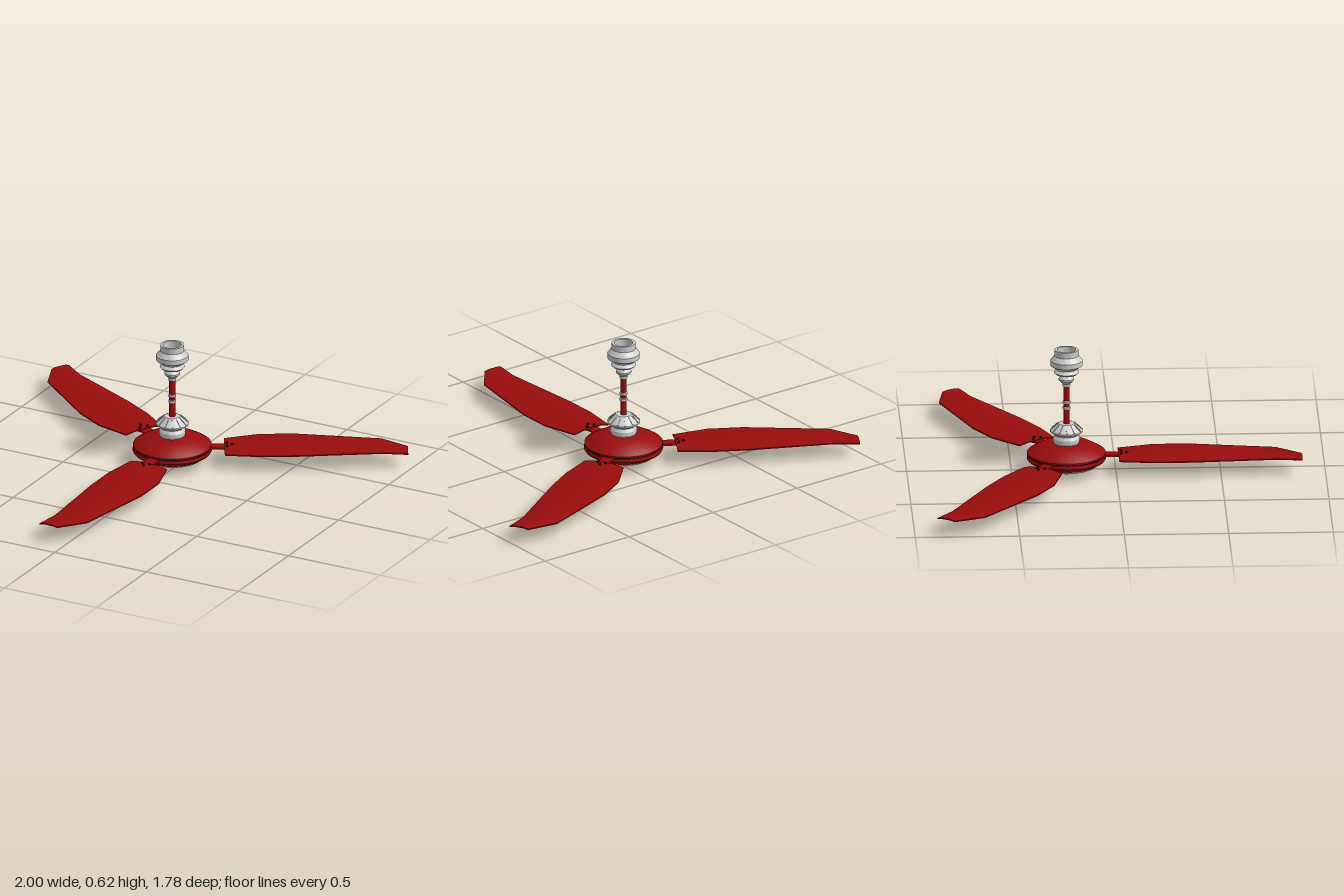
import * as THREE from 'three';
import { toCreasedNormals } from 'three/addons/utils/BufferGeometryUtils.js';

const paint = (color) => new THREE.MeshStandardMaterial({ color, side: THREE.DoubleSide });
const red = paint(0x990c0c), grey = paint(0xcccccc), dark = paint(0x1c1212);

function add(parent, name, geometry, material, x = 0, y = 0, z = 0) {
  const mesh = new THREE.Mesh(geometry, material);
  mesh.name = name;
  mesh.position.set(x, y, z);
  parent.add(mesh);
  return mesh;
}

// Turned part: [radius, height] pairs listed from bottom to top
function turned(profile, segments = 48) {
  const points = profile.map(([r, y]) => new THREE.Vector2(r, y));
  return toCreasedNormals(new THREE.LatheGeometry(points, segments), 0.45);
}

// Cambered blade lofted through stations [z, left edge, right edge, crown height]
function bladeGeometry() {
  const stations = [
    [0.249, -0.096, 0.107, 0.092], [0.42, -0.118, 0.155, 0.093],
    [0.591, -0.118, 0.155, 0.093], [1.003, -0.091, 0.086, 0.091],
    [1.126, -0.107, -0.011, 0.087],
  ];
  const across = [0, 0.22, 0.72, 1], edgeY = 0.082, thick = 0.006;
  const positions = [], index = [];
  for (const [z, left, right, crown] of stations) {
    const top = across.map((t, i) =>
      [left + (right - left) * t, i === 0 || i === 3 ? edgeY : crown, z]);
    const bottom = top.map(([x, y]) => [x, y - thick, z]).reverse();
    positions.push(...[...top, ...bottom].flat());
  }
  const n = across.length * 2, last = (stations.length - 1) * n;
  for (let s = 0; s < last; s += n) {
    for (let i = 0; i < n; i++) {
      const a = s + i, b = s + (i + 1) % n;
      index.push(a, a + n, b, b, a + n, b + n);
    }
  }
  // End caps
  for (let i = 0; i < 3; i++) {
    const a = i, b = i + 1, c = n - 2 - i, d = n - 1 - i;
    index.push(a, b, c, a, c, d);
    index.push(last + a, last + c, last + b, last + a, last + d, last + c);
  }
  const geometry = new THREE.BufferGeometry();
  geometry.setAttribute('position', new THREE.Float32BufferAttribute(positions, 3));
  geometry.setIndex(index);
  return toCreasedNormals(geometry, 0.3);
}

function buildBlade(blade) {
  const group = new THREE.Group();
  group.name = 'bladeAssembly';
  add(group, 'blade', blade, red);
  add(group, 'bladeArm', new THREE.BoxGeometry(0.055, 0.009, 0.16), red, 0, 0.084, 0.23);
  add(group, 'armPlate', new THREE.CylinderGeometry(0.036, 0.036, 0.008, 20), red, 0, 0.082, 0.275);
  for (const [x, z] of [[-0.021, 0.262], [0.021, 0.262], [0, 0.288]]) {
    add(group, 'bladeBolt', new THREE.CylinderGeometry(0.006, 0.006, 0.024, 10), dark, x, 0.087, z);
  }
  return group;
}

function buildMotor() {
  const motor = new THREE.Group();
  motor.name = 'motor';
  add(motor, 'upperHousing', turned([[0.17, 0.094], [0.188, 0.094], [0.188, 0.1],
    [0.17, 0.112], [0.115, 0.142], [0.05, 0.146], [0, 0.146]]), red);
  add(motor, 'housingGap', turned([[0.183, 0.086], [0.183, 0.095]]), dark);
  add(motor, 'lowerHousing', turned([[0.14, 0.045], [0.155, 0.045], [0.185, 0.064],
    [0.19, 0.072], [0.188, 0.087], [0.17, 0.087]]), red);
  // Stepped underside
  add(motor, 'underRing', turned([[0.118, 0.038], [0.125, 0.034], [0.145, 0.036],
    [0.152, 0.046]]), grey);
  add(motor, 'accentRing', turned([[0.088, 0.03], [0.093, 0.025], [0.112, 0.028],
    [0.12, 0.04]]), red);
  add(motor, 'bottomCap', turned([[0, 0.014], [0.06, 0.016], [0.083, 0.022],
    [0.09, 0.032]]), grey);
  add(motor, 'capRing', turned([[0.058, 0.016], [0.06, 0.009], [0.068, 0.009],
    [0.072, 0.018]]), grey);
  add(motor, 'capHub', turned([[0, 0], [0.014, 0.001], [0.022, 0.007], [0.022, 0.018]]), grey);
  // Radial vents on the cap
  for (let i = 0; i < 10; i++) {
    const spoke = new THREE.Group();
    spoke.name = 'capSpoke';
    spoke.rotation.y = (i / 10) * Math.PI * 2;
    add(spoke, 'rib', new THREE.BoxGeometry(0.009, 0.008, 0.042), grey, 0, 0.012, 0.04);
    const vent = new THREE.Group();
    vent.rotation.y = Math.PI / 10;
    vent.name = 'capVent';
    add(vent, 'slot', new THREE.BoxGeometry(0.011, 0.004, 0.026), dark, 0, 0.015, 0.042);
    spoke.add(vent);
    motor.add(spoke);
  }
  return motor;
}

function buildMount() {
  const mount = new THREE.Group();
  mount.name = 'mount';
  add(mount, 'downrod', new THREE.CylinderGeometry(0.015, 0.015, 0.26, 24), red, 0, 0.32, 0);
  for (const y of [0.322, 0.352]) {
    add(mount, 'rodCollar', turned([[0.014, y - 0.009], [0.019, y - 0.005],
      [0.019, y + 0.005], [0.014, y + 0.009]], 24), grey);
  }
  // Lower canopy over the motor
  add(mount, 'lowerCanopy', turned([[0.058, 0.143], [0.064, 0.155], [0.064, 0.172],
    [0.054, 0.187], [0.078, 0.203], [0.078, 0.21], [0.042, 0.242], [0.038, 0.245], [0.015, 0.245]]), grey);
  for (let i = 0; i < 12; i++) {
    const flute = new THREE.Group();
    flute.name = 'canopyFlute';
    flute.rotation.y = (i / 12) * Math.PI * 2;
    const rib = add(flute, 'rib', new THREE.BoxGeometry(0.007, 0.005, 0.044), grey, 0, 0.227, 0.06);
    rib.rotation.x = 0.72;
    mount.add(flute);
  }
  // Ceiling cup with an open, recessed top
  add(mount, 'ceilingCup', turned([[0.018, 0.432], [0.02, 0.446], [0.037, 0.462],
    [0.037, 0.47], [0.026, 0.484], [0.05, 0.492], [0.06, 0.502], [0.046, 0.516],
    [0.077, 0.538], [0.077, 0.562], [0.057, 0.586], [0.057, 0.615], [0.044, 0.615],
    [0.044, 0.575], [0, 0.575]]), grey);
  return mount;
}

export function createModel() {
  const fan = new THREE.Group();
  fan.name = 'ceilingFan';
  const body = new THREE.Group();
  body.name = 'fanBody';
  body.position.set(-0.035, 0, -0.237);
  body.add(buildMotor(), buildMount());
  const blade = bladeGeometry();
  for (let i = 0; i < 3; i++) {
    const assembly = buildBlade(blade);
    assembly.rotation.y = (i * Math.PI * 2) / 3;
    body.add(assembly);
  }
  fan.add(body);
  return fan;
}
